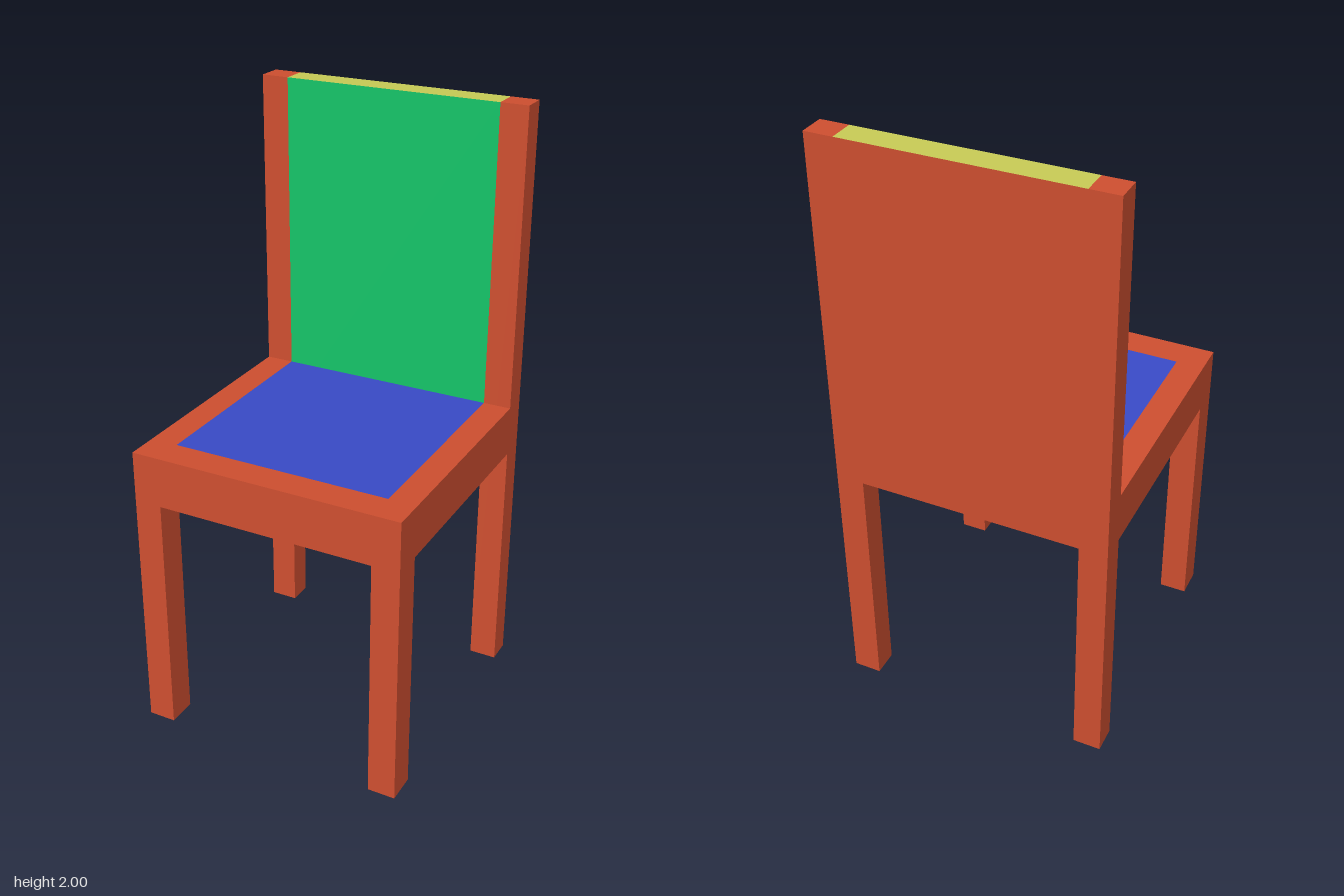
import * as THREE from 'three';

const paint = (color) => new THREE.MeshStandardMaterial({ color });

export function createModel() {
  const red = paint(0xcf4f30), blue = paint(0x3a4bc8), green = paint(0x14c468), yellow = paint(0xc8cc56);

  // Levels and edges of the chair in its own upright frame
  const floor = 0.02, seatBottom = 0.845, seatTop = 1.013, top = 2.005;
  const front = -0.486, cushionFront = -0.38, backFront = 0.348, back = 0.433;
  const sideA = -0.446, sideB = 0.466, rim = 0.092;
  const innerA = sideA + rim, innerB = sideB - rim;

  const chair = new THREE.Group();
  chair.name = 'chair';

  // Box given by its limits on each axis
  function box(name, [x0, x1], [y0, y1], [z0, z1], material) {
    const mesh = new THREE.Mesh(new THREE.BoxGeometry(x1 - x0, y1 - y0, z1 - z0), material);
    mesh.position.set((x0 + x1) / 2, (y0 + y1) / 2, (z0 + z1) / 2);
    mesh.name = name;
    chair.add(mesh);
  }

  // Front legs, and rear legs that run up as back posts
  for (const [side, z] of [['Right', [sideA, innerA]], ['Left', [innerB, sideB]]]) {
    box('frontLeg' + side, [front, front + 0.1], [floor, seatBottom], z, red);
    box('rearPost' + side, [backFront, back], [floor, top], z, red);
  }

  // U-shaped seat frame, drawn in plan and extruded upwards
  const plan = new THREE.Shape([
    [front, sideA], [backFront, sideA], [backFront, innerA], [cushionFront, innerA],
    [cushionFront, innerB], [backFront, innerB], [backFront, sideB], [front, sideB],
  ].map(([x, z]) => new THREE.Vector2(x, -z)));
  const frameGeometry = new THREE.ExtrudeGeometry(plan, { depth: seatTop - seatBottom, bevelEnabled: false });
  frameGeometry.rotateX(-Math.PI / 2);
  const frame = new THREE.Mesh(frameGeometry, red);
  frame.position.y = seatBottom;
  frame.name = 'seatFrame';
  chair.add(frame);

  // Seat panel with a blue top, backrest with a green front and yellow top
  box('seatPanel', [cushionFront, backFront], [seatBottom, seatTop], [innerA, innerB],
    [red, red, blue, red, red, red]);
  box('backrest', [backFront, back], [seatBottom, top], [innerA, innerB],
    [red, green, yellow, red, red, red]);

  // The chair is turned about its height and leans slightly
  const up = new THREE.Vector3(0.023, 1, -0.018).normalize();
  const across = new THREE.Vector3(0.979, -0.026, -0.203).normalize();
  const depth = new THREE.Vector3().crossVectors(across, up).normalize();
  across.crossVectors(up, depth);
  chair.quaternion.setFromRotationMatrix(new THREE.Matrix4().makeBasis(across, up, depth));

  const model = new THREE.Group();
  model.name = 'model';
  model.add(chair);
  return model;
}
